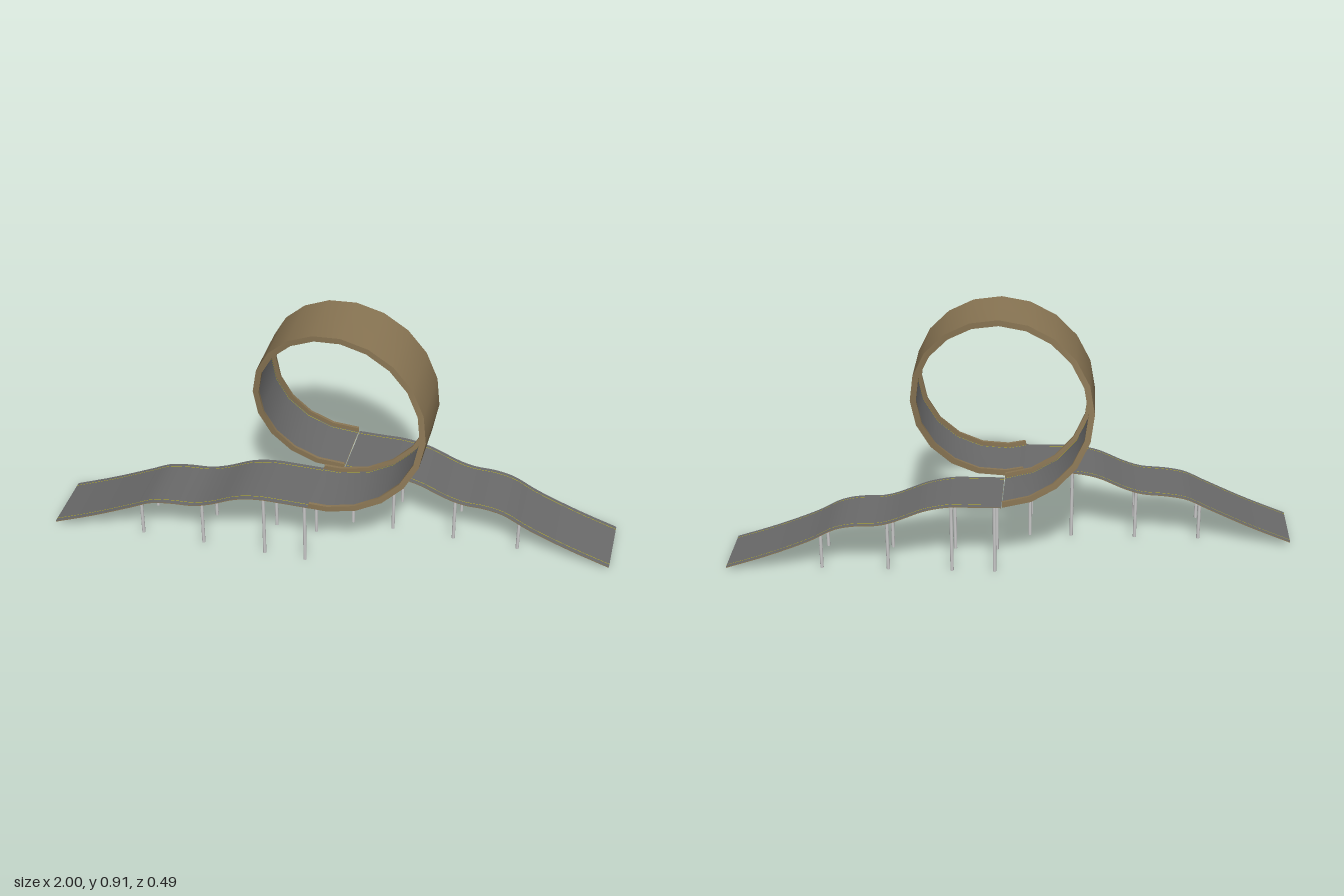
import * as THREE from 'three';

const mat = (name, color, side = THREE.FrontSide) => {
  const m = new THREE.MeshStandardMaterial({ color, side });
  m.name = name;
  return m;
};

// Sweeps an open cross-section of [across, height] pairs along a path of
// { x, y, z, nx, ny } stations; edges stay sharp across, smooth along.
function sweep(path, section) {
  const pos = [], index = [];
  for (let s = 0; s < section.length - 1; s++) {
    const base = pos.length / 3;
    for (const p of path) {
      for (const [w, h] of [section[s], section[s + 1]]) {
        pos.push(p.x + p.nx * h, p.y + p.ny * h, p.z + w);
      }
    }
    for (let i = 0; i < path.length - 1; i++) {
      const a = base + i * 2;
      index.push(a, a + 2, a + 1, a + 1, a + 2, a + 3);
    }
  }
  const g = new THREE.BufferGeometry();
  g.setAttribute('position', new THREE.Float32BufferAttribute(pos, 3));
  g.setIndex(index);
  g.computeVertexNormals();
  return g;
}

export function createModel() {
  const asphalt = mat('asphalt grey', 0x6b6b6b);
  const brown = mat('earth brown', 0x8a7654, THREE.DoubleSide);
  const steel = mat('light steel', 0xc8c8c8);
  const yellow = mat('line yellow', 0xb8b020);
  const model = new THREE.Group();
  model.name = 'loopTrack';

  const add = (parent, name, geometry, material) => {
    const m = new THREE.Mesh(geometry, material);
    m.name = name;
    parent.add(m);
    return m;
  };
  const W = 0.115; // half width of the road

  const addLines = (group, path, edge, h) => {
    for (const z of [edge, -edge]) {
      add(group, 'edgeLine', sweep(path, [[z + 0.001, h], [z - 0.001, h]]), yellow);
    }
  };

  // Ramps: wavy thin sheets on pairs of posts
  const ramps = [
    {
      name: 'entryRamp', z: 0.128, foot: 0.01, posts: [-0.67, -0.44, -0.21, -0.06],
      profile: [[-1, 0.02], [-0.85, 0.08], [-0.7, 0.148], [-0.62, 0.185], [-0.55, 0.197],
        [-0.46, 0.204], [-0.4, 0.222], [-0.3, 0.265], [-0.22, 0.28], [-0.12, 0.281], [-0.03, 0.28]],
    },
    {
      name: 'exitRamp', z: -0.129, foot: 0, posts: [0.055, 0.205, 0.43, 0.665],
      profile: [[0.03, 0.271], [0.12, 0.27], [0.21, 0.269], [0.3, 0.25], [0.36, 0.225], [0.42, 0.201],
        [0.47, 0.19], [0.54, 0.187], [0.61, 0.172], [0.7, 0.125], [0.85, 0.063], [1, 0.011]],
    },
  ];
  for (const r of ramps) {
    const group = new THREE.Group();
    group.name = r.name;
    model.add(group);
    const curve = new THREE.CatmullRomCurve3(r.profile.map(([x, y]) => new THREE.Vector3(x, y, 0)));
    const path = curve.getSpacedPoints(48).map((p, i) => {
      const t = curve.getTangentAt(i / 48);
      return { x: p.x, y: p.y, z: r.z, nx: -t.y, ny: t.x };
    });
    add(group, 'rampSurface', sweep(path, [[W, 0], [-W, 0]]), asphalt);
    add(group, 'rampUnderside', sweep(path, [[-W, 0], [-W, -0.003], [W, -0.003], [W, 0]]), brown);
    addLines(group, path, W - 0.016, 0.0008);

    for (const x of r.posts) {
      const near = path.reduce((a, b) => (Math.abs(b.x - x) < Math.abs(a.x - x) ? b : a));
      const h = near.y - 0.004 - r.foot;
      for (const dz of [0.08, -0.08]) {
        const post = add(group, 'supportPost', new THREE.CylinderGeometry(0.006, 0.006, h, 12), steel);
        post.position.set(x, r.foot + h / 2, r.z + dz);
      }
    }
  }

  // Loop: one helical turn with raised lips along both edges
  const loop = new THREE.Group();
  loop.name = 'loop';
  model.add(loop);
  const R = 0.32, first = -13.5, last = 358.5;
  const angles = [first];
  for (let a = -1.5; a <= last; a += 18) angles.push(a);
  const path = angles.map((deg) => {
    const a = THREE.MathUtils.degToRad(deg);
    return {
      x: 0.035 + R * Math.sin(a), y: 0.589 - R * Math.cos(a),
      z: THREE.MathUtils.mapLinear(deg, first, last, 0.128, -0.128),
      nx: -Math.sin(a), ny: Math.cos(a),
    };
  });
  const lip = W - 0.01, floor = 0.005, top = 0.021;
  add(loop, 'loopSurface', sweep(path, [[lip, floor], [-lip, floor]]), asphalt);
  add(loop, 'loopShell', sweep(path, [[-lip, floor], [-lip, top], [-W, top], [-W, 0],
    [W, 0], [W, top], [lip, top], [lip, floor]]), brown);
  addLines(loop, path, W - 0.016, floor + 0.0008);

  return model;
}
